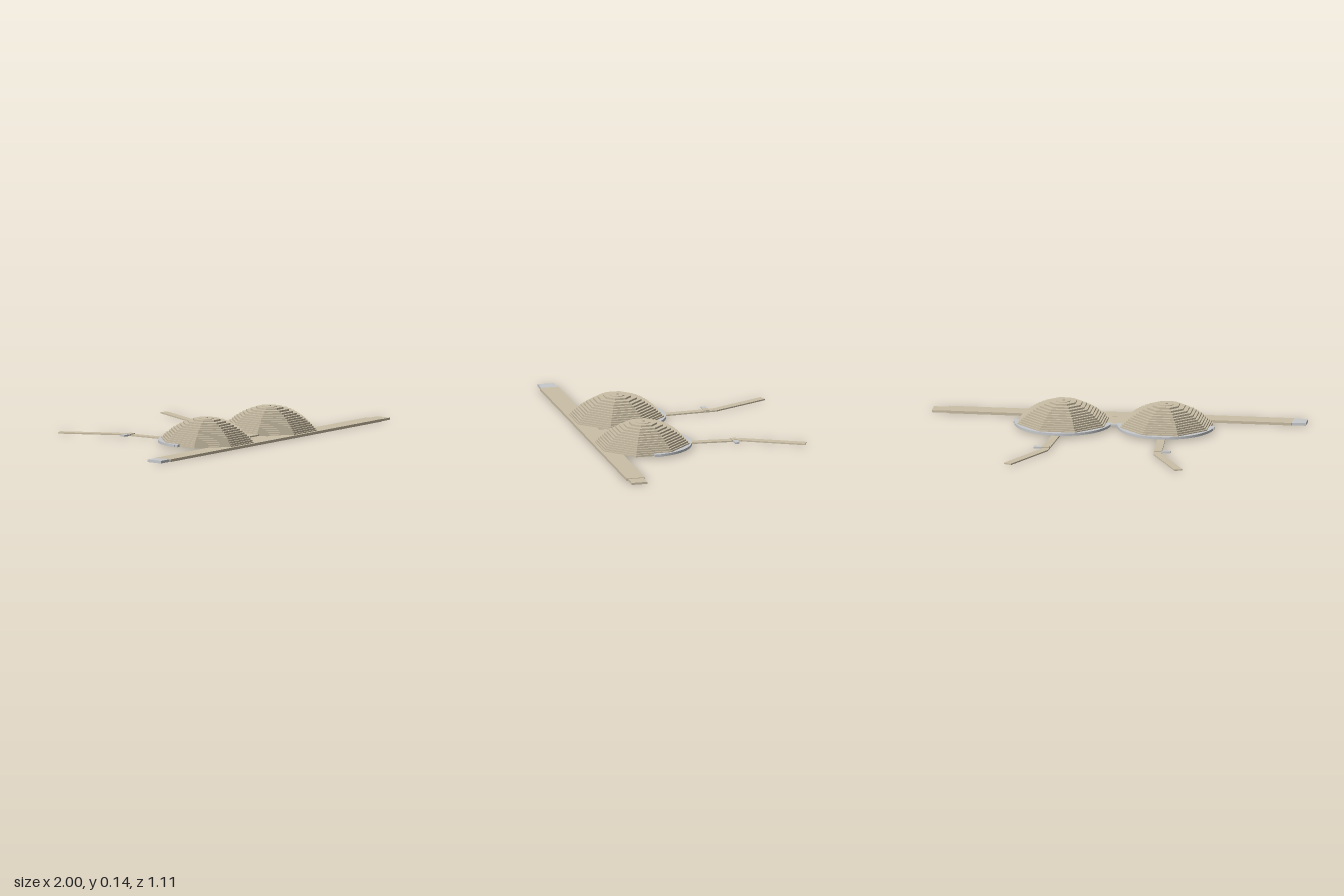
import * as THREE from 'three';

const CUP_X = 0.275, CUP_Z = 0.295, APOTHEM = 0.238;

// Closed stepped profile of one cup: inside from crown to rim, then outside back up
function cupGeometry() {
  const tiers = 13, base = 0.01, rise = 0.124, wall = 0.011;
  const outer = [], inner = [];
  for (let i = 0; i < tiers; i++) {
    const r = APOTHEM * Math.sqrt(1 - Math.pow(i / tiers, 1.1)) / Math.cos(Math.PI / 8);
    const y0 = base + rise * i / tiers, y1 = base + rise * (i + 1) / tiers;
    outer.push(new THREE.Vector2(r, y0), new THREE.Vector2(r, y1));
    const bottom = i === 0 ? base : y0 - 0.006;
    inner.push(new THREE.Vector2(r - wall, bottom), new THREE.Vector2(r - wall, y1 - 0.006));
  }
  outer.push(new THREE.Vector2(0, base + rise));
  inner.push(new THREE.Vector2(0, base + rise - 0.006));
  return new THREE.LatheGeometry([...inner.reverse(), ...outer], 8, Math.PI / 8);
}

// Flat plate cut from a plan outline of [x, z] points, lying between y0 and y1
function plate(points, y0, y1) {
  const shape = new THREE.Shape(points.map(([x, z]) => new THREE.Vector2(x, -z)));
  const g = new THREE.ExtrudeGeometry(shape, { depth: y1 - y0, bevelEnabled: false });
  return g.rotateX(-Math.PI / 2).translate(0, y0, 0);
}

function box(x0, x1, y0, y1, z0, z1) {
  return new THREE.BoxGeometry(x1 - x0, y1 - y0, z1 - z0)
    .translate((x0 + x1) / 2, (y0 + y1) / 2, (z0 + z1) / 2);
}

// Half ring around the back edge of a cup, with a small foot at each end
function wireGeometry() {
  const shape = new THREE.Shape();
  shape.absarc(0, 0, 0.259, 0, Math.PI, false);
  shape.lineTo(-0.259, -0.002);
  shape.absarc(0, 0, 0.232, Math.PI, 0, true);
  const g = new THREE.ExtrudeGeometry(shape, { depth: 0.013, bevelEnabled: false, curveSegments: 32 });
  return g.rotateX(-Math.PI / 2).translate(0, 0.01, 0);
}

export function createModel() {
  const model = new THREE.Group();
  const fabric = new THREE.MeshStandardMaterial({ color: 0xcbbfa6, flatShading: true });
  fabric.name = 'beige fabric';
  const metal = new THREE.MeshStandardMaterial({ color: 0xc6c8cb, flatShading: true });
  metal.name = 'pale grey metal';

  function add(parent, name, geometry, material) {
    const mesh = new THREE.Mesh(geometry, material);
    mesh.name = name;
    parent.add(mesh);
    return mesh;
  }

  // Long band with a fastening at each end
  add(model, 'band', box(-0.925, 0.92, 0, 0.014, 0.45, 0.55), fabric);
  add(model, 'hookTab', box(-1, -0.925, 0, 0.014, 0.455, 0.543), metal);
  add(model, 'eyeTab', box(0.92, 1, 0, 0.011, 0.458, 0.542), fabric);

  // Bridge between the cups
  add(model, 'bridge', box(-0.042, 0.042, 0.003, 0.02, 0.275, 0.4), fabric);
  add(model, 'bridgeFoot', box(-0.055, 0.055, 0.001, 0.013, 0.395, 0.455), fabric);
  add(model, 'bridgeClip', box(-0.018, 0.018, 0.01, 0.022, 0.262, 0.286), metal);

  for (const [label, s] of [['left', 1], ['right', -1]]) {
    const side = new THREE.Group();
    side.name = label + 'Side';
    model.add(side);

    // Stepped eight-sided cup with a small crown
    add(side, 'cup', cupGeometry(), fabric).position.set(s * CUP_X, 0, CUP_Z);
    add(side, 'crownDisc', new THREE.CylinderGeometry(0.04, 0.04, 0.004, 16), fabric)
      .position.set(s * CUP_X, 0.135, CUP_Z);
    add(side, 'crownDot', new THREE.CylinderGeometry(0.007, 0.007, 0.006, 8), fabric)
      .position.set(s * CUP_X, 0.139, CUP_Z);

    // Wire along the back edge of the cup
    add(side, 'wire', wireGeometry(), metal).position.set(s * CUP_X, 0, CUP_Z - 0.02 + 0.02);
    add(side, 'wireFoot', box(-0.012, 0.012, 0.01, 0.022, -0.008, 0.008), metal)
      .position.set(s * 0.523, 0, 0.268);

    // Bent shoulder strap
    const strap = [
      [0.257, 0.075], [0.302, 0.075], [0.305, 0.03], [0.322, -0.235],
      [0.477, -0.54], [0.437, -0.556], [0.282, -0.25], [0.262, 0.03],
    ].map(([x, z]) => [s * x, z]);
    add(side, 'strap', plate(strap, 0.002, 0.009), fabric);

    // Strap slider, covered by a loop of strap
    const sliderX = s * 0.333;
    add(side, 'slider', box(-0.032, 0.032, 0.003, 0.012, -0.21, -0.185), metal).position.x = sliderX;
    add(side, 'sliderLoop', box(-0.02, 0.02, 0.004, 0.014, -0.212, -0.18), fabric).position.x = s * 0.3;
  }
  return model;
}
